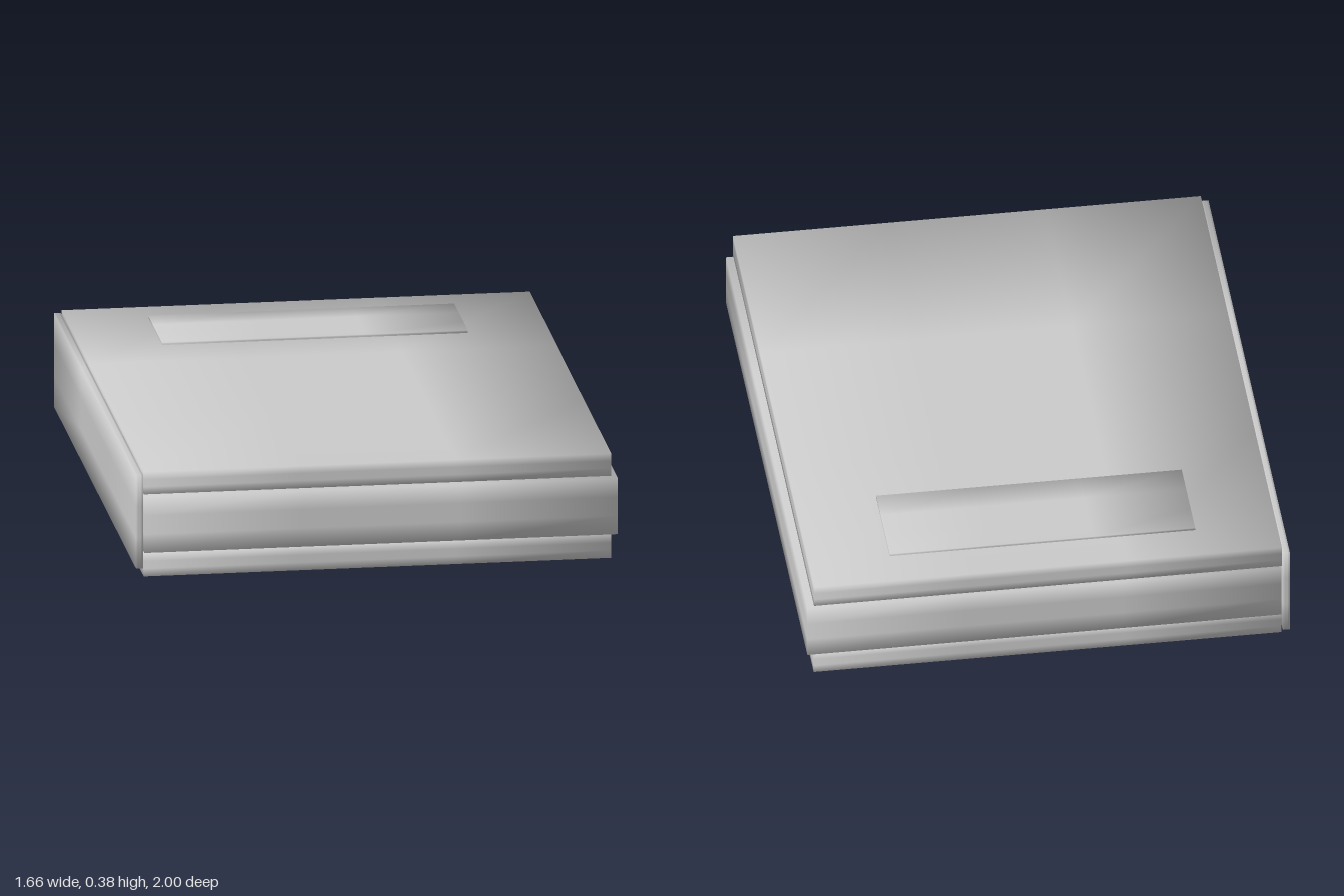
import * as THREE from 'three';

const material = new THREE.MeshStandardMaterial({ color: 0xcccccc });

// Box given by its ranges, with normals averaged across the edges for a soft, pillowy shading
function softBox(name, [x0, x1], [y0, y1], [z0, z1]) {
  const size = [x1 - x0, y1 - y0, z1 - z0];
  const geometry = new THREE.BoxGeometry(...size, 3, 3, 3);
  const { position, normal } = geometry.attributes;
  const n = new THREE.Vector3();
  for (let i = 0; i < position.count; i++) {
    const outward = size.map((s, axis) => {
      const p = position.getComponent(i, axis);
      return Math.abs(p) > s * 0.49 ? Math.sign(p) : 0;
    });
    n.fromArray(outward).normalize();
    normal.setXYZ(i, n.x, n.y, n.z);
  }
  const mesh = new THREE.Mesh(geometry, material);
  mesh.name = name;
  mesh.position.set((x0 + x1) / 2, (y0 + y1) / 2, (z0 + z1) / 2);
  return mesh;
}

export function createModel() {
  const model = new THREE.Group();
  model.name = 'flatCase';

  model.add(
    // Three stacked layers of the case
    softBox('bottomPlate', [-0.805, 0.805], [0, 0.081], [-0.978, 1]),
    softBox('middleBody', [-0.803, 0.828], [0.083, 0.281], [-0.988, 1]),
    softBox('topPlate', [-0.805, 0.805], [0.291, 0.37], [-0.988, 1]),
    // Upright panel closing the right side
    softBox('sidePanel', [-0.83, -0.806], [0.026, 0.357], [-1, 0.99]),
    // Thin raised strip near the back of the top
    softBox('raisedStrip', [-0.526, 0.526], [0.365, 0.379], [-0.85, -0.52]),
  );
  return model;
}
